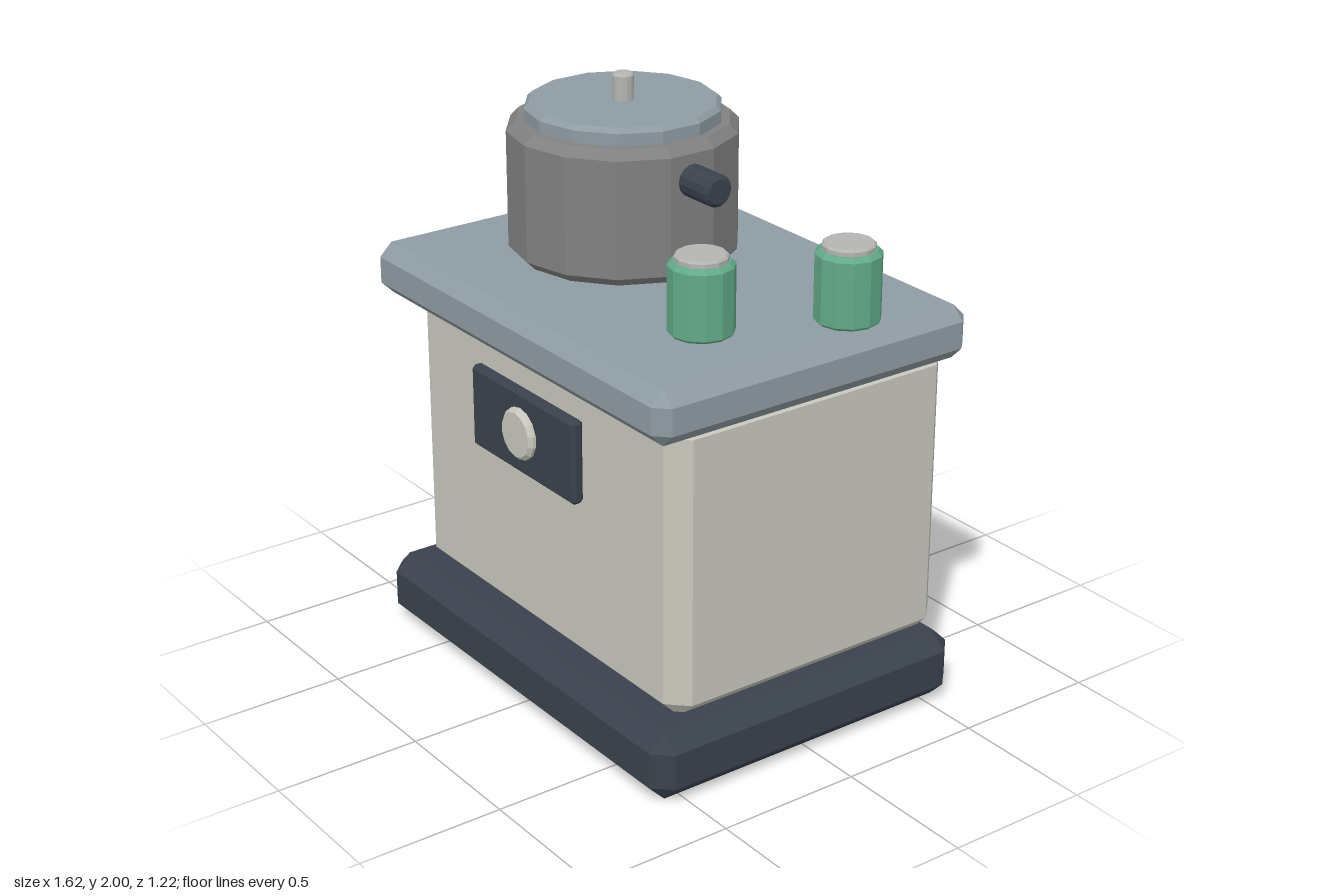
import * as THREE from 'three';
import { ConvexGeometry } from 'three/addons/geometries/ConvexGeometry.js';

const material = (color) => new THREE.MeshStandardMaterial({ color, flatShading: true });
const DARK = material(0x3a424d);
const CREAM = material(0xc8c8be);
const SLATE = material(0x8f9ca3);
const POT = material(0x808180);
const GREEN = material(0x62aa88);
const METAL = material(0xb4b5b2);

// Box with every edge chamfered by b, spanning min to max
function chamferBox([x0, y0, z0], [x1, y1, z1], b) {
  const half = new THREE.Vector3(x1 - x0, y1 - y0, z1 - z0).multiplyScalar(0.5);
  const points = [];
  for (const sx of [-1, 1]) for (const sy of [-1, 1]) for (const sz of [-1, 1]) {
    for (let axis = 0; axis < 3; axis++) {
      const inset = new THREE.Vector3(b, b, b).setComponent(axis, 0);
      points.push(half.clone().sub(inset).multiply(new THREE.Vector3(sx, sy, sz)));
    }
  }
  return new ConvexGeometry(points).translate((x0 + x1) / 2, (y0 + y1) / 2, (z0 + z1) / 2);
}

// Upright cylinder with chamfered rims, standing on its own origin
function chamferCylinder(r, h, b, sides) {
  const profile = [[0, 0], [r - b, 0], [r, b], [r, h - b], [r - b, h], [0, h]];
  return new THREE.LatheGeometry(profile.map(([x, y]) => new THREE.Vector2(x, y)), sides);
}

export function createModel() {
  const model = new THREE.Group();
  model.name = 'stove';

  function add(name, geometry, mat, parent = model, position = [0, 0, 0]) {
    const mesh = new THREE.Mesh(geometry, mat);
    mesh.name = name;
    mesh.position.set(...position);
    parent.add(mesh);
    return mesh;
  }

  // Cabinet: plinth, body set slightly back, worktop
  add('plinth', chamferBox([-0.81, 0, -0.61], [0.81, 0.24, 0.61], 0.058), DARK);
  add('body', chamferBox([-0.733, 0.215, -0.6], [0.733, 1.255, 0.495], 0.065), CREAM);
  add('worktop', chamferBox([-0.81, 1.22, -0.61], [0.81, 1.4, 0.61], 0.045), SLATE);

  // Control panel with its round knob
  add('controlPanel', chamferBox([-0.29, 0.833, 0.52], [0.29, 1.12, 0.565], 0.012), DARK);
  add('knob', chamferCylinder(0.088, 0.05, 0.012, 14), CREAM, model, [0, 0.98, 0.538]).rotation.x = Math.PI / 2;

  // Pot with lid, stem and side handles
  const pot = new THREE.Group();
  pot.name = 'pot';
  pot.position.set(-0.267, 1.4, -0.032);
  model.add(pot);
  add('potBody', chamferCylinder(0.385, 0.455, 0.03, 14), POT, pot);
  add('lid', chamferCylinder(0.326, 0.08, 0.016, 14), SLATE, pot, [0, 0.432, 0]);
  add('lidStem', chamferCylinder(0.036, 0.11, 0.007, 14), METAL, pot, [0, 0.49, 0]);
  for (const side of [-1, 1]) {
    add(side > 0 ? 'leftHandle' : 'rightHandle', chamferCylinder(0.054, 0.2, 0.012, 14), DARK, pot,
      [side * 0.317, 0.337, 0]).rotation.z = -side * Math.PI / 2;
  }

  // Two green jars with metal caps
  for (const [x, z] of [[0.477, 0.21], [0.664, -0.214]]) {
    const jar = new THREE.Group();
    jar.name = 'jar';
    jar.position.set(x, 1.395, z);
    model.add(jar);
    add('jarBody', chamferCylinder(0.107, 0.242, 0.014, 12), GREEN, jar);
    add('jarCap', chamferCylinder(0.086, 0.05, 0.007, 12), METAL, jar, [0, 0.213, 0]);
  }
  return model;
}
